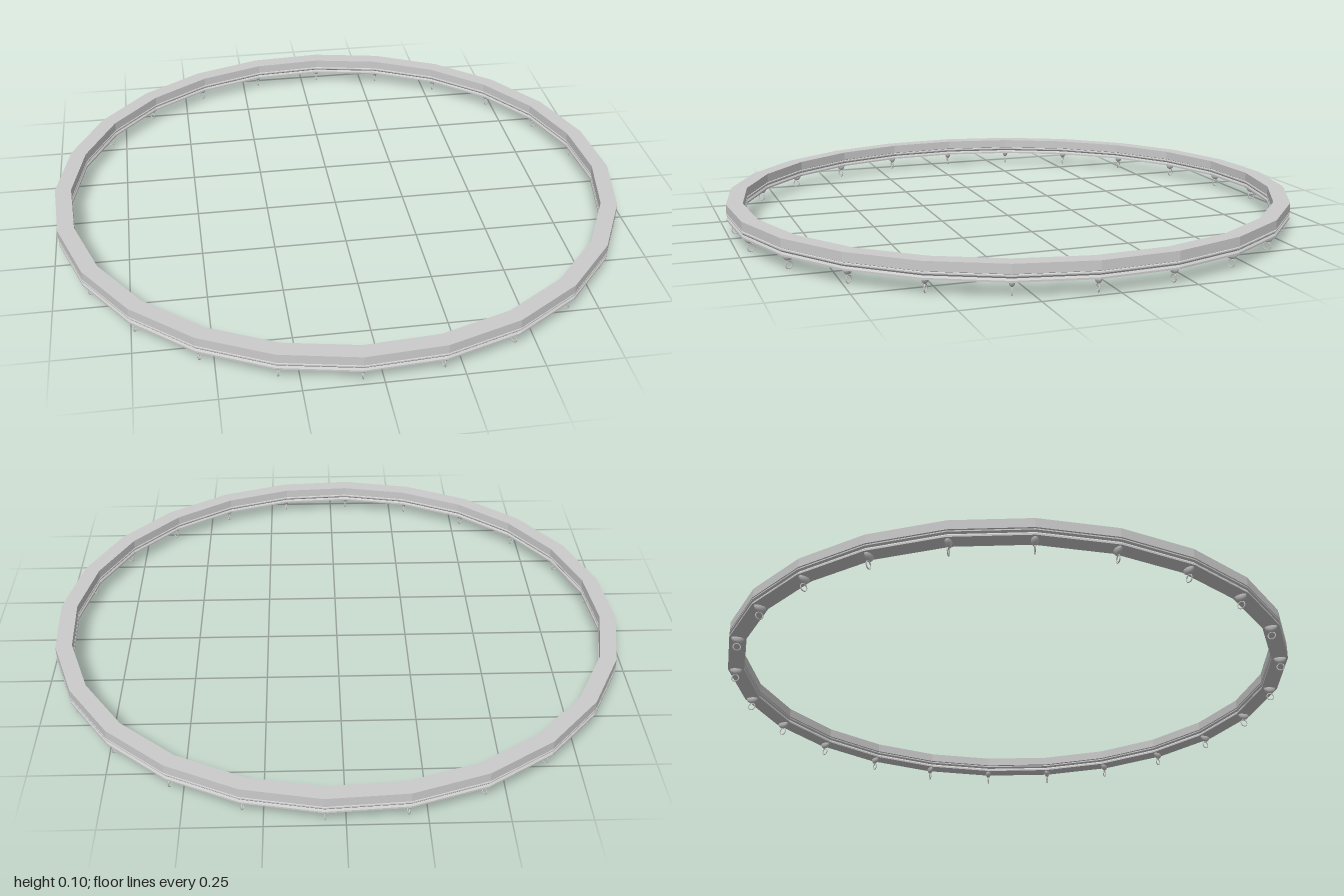
import * as THREE from 'three';

const SIDES = 24;
const STEP = (Math.PI * 2) / SIDES;
const OFFSET = STEP / 4; // angle of the first corner from +x
const OUTER = 1.002, INNER = 0.945, MID = (OUTER + INNER) / 2;

const grey = new THREE.MeshStandardMaterial({ color: 0xcccccc });
const greyFlat = new THREE.MeshStandardMaterial({ color: 0xcccccc, flatShading: true });

// Faceted rail: one grooved cross-section swept round a 24-sided ring
function makeRail() {
  const outerSide = [[0, 0.048], [0, 0.054], [-0.005, 0.06], [0, 0.066], [0, 0.07], [-0.004, 0.072], [0, 0.074], [0, 0.105]];
  const profile = [
    ...outerSide.map(([d, y]) => new THREE.Vector2(OUTER + d, y)),
    ...outerSide.slice().reverse().map(([d, y]) => new THREE.Vector2(INNER - d, y)),
    new THREE.Vector2(OUTER, 0.048),
  ];
  const rail = new THREE.Mesh(new THREE.LatheGeometry(profile, SIDES, Math.PI / 2 - OFFSET), greyFlat);
  rail.name = 'rail';
  return rail;
}

// Glider under the rail: flat rounded body with a hanging eyelet
const bodyGeometry = new THREE.SphereGeometry(0.022, 16, 10).scale(1, 1, 0.5);
const eyeletGeometry = new THREE.TorusGeometry(0.0125, 0.002, 6, 16);

function makeGlider(angle) {
  const glider = new THREE.Group();
  glider.name = 'glider';
  const body = new THREE.Mesh(bodyGeometry, grey);
  body.name = 'gliderBody';
  body.position.y = 0.05;
  const eyelet = new THREE.Mesh(eyeletGeometry, grey);
  eyelet.name = 'eyelet';
  eyelet.position.y = 0.0145;
  glider.add(body, eyelet);
  glider.position.set(MID * Math.cos(angle), 0, MID * Math.sin(angle));
  glider.rotation.y = -angle;
  return glider;
}

export function createModel() {
  const model = new THREE.Group();
  model.name = 'ringRail';
  model.add(makeRail());
  // One glider at every corner of the ring
  for (let i = 0; i < SIDES; i++) model.add(makeGlider(OFFSET + i * STEP));
  return model;
}
